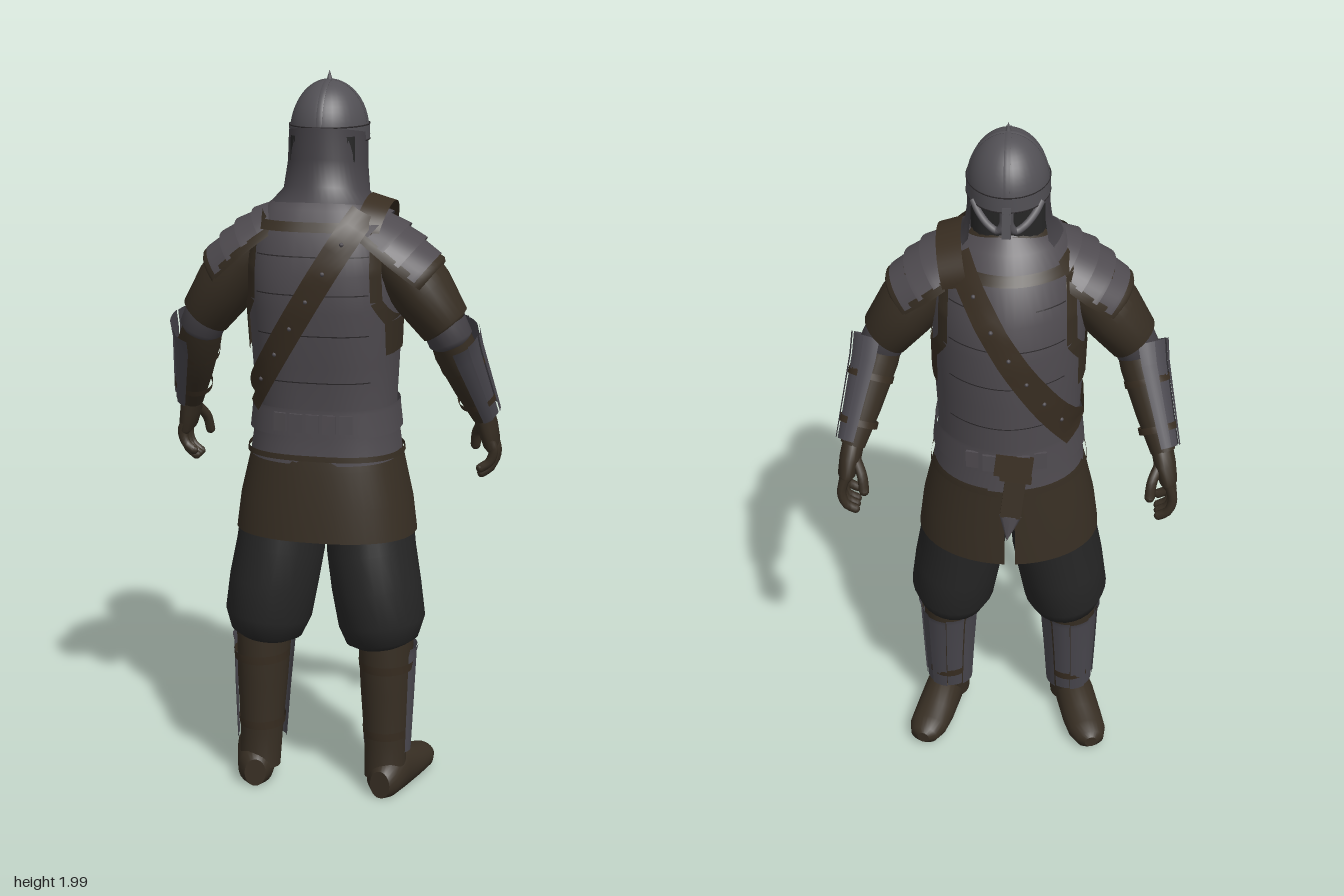
import * as THREE from 'three';

const mat = (name, color) => {
  const m = new THREE.MeshStandardMaterial({ color, side: THREE.DoubleSide });
  m.name = name;
  return m;
};

// Torso cross-sections: y, half width, z front, z back
const TORSO = [
  [0.98, 0.207, -0.18, 0.182], [1.03, 0.2, -0.178, 0.178], [1.12, 0.19, -0.178, 0.178],
  [1.25, 0.197, -0.192, 0.2], [1.4, 0.202, -0.196, 0.224], [1.5, 0.202, -0.184, 0.228],
  [1.6, 0.185, -0.138, 0.208], [1.66, 0.145, -0.09, 0.17], [1.7, 0.09, -0.05, 0.12],
];
const P_BACK = 2.7, P_FRONT = 1.85; // squarer back, rounder front

function sectionAt(y) {
  let i = 0;
  while (i < TORSO.length - 2 && y > TORSO[i + 1][0]) i++;
  const a = TORSO[i], b = TORSO[i + 1];
  const t = THREE.MathUtils.clamp((y - a[0]) / (b[0] - a[0]), 0, 1);
  return a.map((v, k) => v + (b[k] - v) * t);
}

// Skin over rings [x, y, z, ra, rb]; s mirrors it across x
function loft(rings, { s = 1, a0 = 0, a1 = Math.PI * 2, seg = 24, p = 2, pf = p, caps = false, floor = -1 } = {}) {
  const full = a1 - a0 > 6.28;
  if (s < 0) [a0, a1] = [-a1, -a0];
  const c = rings.map(r => new THREE.Vector3(r[0] * s, r[1], r[2]));
  const d = c[c.length - 1].clone().sub(c[0]).normalize();
  const u = Math.abs(d.z) > 0.8 ? new THREE.Vector3(0, 1, 0) : new THREE.Vector3(0, 0, 1);
  u.addScaledVector(d, -u.dot(d)).normalize();
  const v = new THREE.Vector3().crossVectors(d, u);
  const pos = [], idx = [], n = full ? seg : seg + 1;
  const ring = i => {
    for (let j = 0; j < n; j++) {
      const t = a0 + (a1 - a0) * j / seg, e = 2 / (Math.cos(t) < 0 ? pf : p);
      const pw = k => Math.sign(k) * Math.abs(k) ** e;
      const q = c[i].clone().addScaledVector(u, rings[i][4] * pw(Math.cos(t)))
        .addScaledVector(v, rings[i][3] * pw(Math.sin(t)));
      pos.push(q.x, Math.max(q.y, floor), q.z);
    }
  };
  rings.forEach((_, i) => ring(i));
  for (let i = 0; i < rings.length - 1; i++) for (let j = 0; j < seg; j++) {
    const a = i * n + j, b = i * n + (j + 1) % n;
    idx.push(a, b, a + n, b, b + n, a + n);
  }
  if (caps) for (const i of [0, rings.length - 1]) {
    const base = pos.length / 3;
    ring(i);
    pos.push(c[i].x, Math.max(c[i].y, floor), c[i].z);
    for (let j = 0; j < seg; j++) {
      const a = base + j, b = base + (j + 1) % n;
      idx.push(base + n, ...(i ? [a, b] : [b, a]));
    }
  }
  return finish(pos, idx);
}

function finish(pos, idx) {
  const g = new THREE.BufferGeometry();
  g.setAttribute('position', new THREE.Float32BufferAttribute(pos, 3));
  g.setIndex(idx);
  g.computeVertexNormals();
  return g;
}

// Point on the torso surface for a given x, y on the front (-1) or back (+1)
function onTorso(x, y, side, off) {
  const [, rx, zf, zb] = sectionAt(y), p = side > 0 ? P_BACK : P_FRONT;
  const k = Math.min(Math.abs(x) / (rx + off), 1);
  const z = (zf + zb) / 2 + side * ((zb - zf) / 2 + off) * (1 - k ** p) ** (1 / p);
  return [Math.sign(x) * k * (rx + off), y, z];
}

// Flat band following a polyline of (x, y) over the torso
function band(points, side, half, off = 0.007) {
  const pos = [], idx = [], W = 4, N = 16;
  for (let i = 0; i < points.length - 1; i++) {
    const [x0, y0] = points[i], [x1, y1] = points[i + 1];
    const l = Math.hypot(x1 - x0, y1 - y0), nx = -(y1 - y0) / l, ny = (x1 - x0) / l;
    const base = pos.length / 3;
    for (let k = 0; k <= N; k++) for (let w = 0; w <= W; w++) {
      const h = half * (2 * w / W - 1), t = k / N;
      pos.push(...onTorso(x0 + (x1 - x0) * t + nx * h, y0 + (y1 - y0) * t + ny * h, side, off));
    }
    for (let k = 0; k < N; k++) for (let w = 0; w < W; w++) {
      const a = base + k * (W + 1) + w, b = a + W + 1;
      idx.push(a, a + 1, b, a + 1, b + 1, b);
    }
  }
  return finish(pos, idx);
}

export function createModel() {
  const root = new THREE.Group();
  const steel = mat('steel', 0x4f4b50), helm = mat('helmetSteel', 0x525055);
  const splint = mat('splintSteel', 0x4b4950), leather = mat('leather', 0x372e23);
  const strapMat = mat('strapLeather', 0x382d21), cloth = mat('darkCloth', 0x262626);
  const mail = mat('mail', 0x454247), seam = mat('seam', 0x2c292b);
  let parent = root;
  const add = (name, geo, m, x = 0, y = 0, z = 0) => {
    const o = new THREE.Mesh(geo, m);
    o.name = name;
    o.position.set(x, y, z);
    parent.add(o);
    return o;
  };
  const hoops = (list, g = 0) => list.map(([y, rx, zf, zb]) => [0, y, (zf + zb) / 2, rx + g, (zb - zf) / 2 + g]);
  const group = name => { parent = new THREE.Group(); parent.name = name; root.add(parent); };
  const body = { p: P_BACK, pf: P_FRONT, seg: 48 };

  // Torso, waist bands and skirt
  group('body');
  add('cuirass', loft(hoops(TORSO), { ...body, caps: true }), steel);
  add('frontCollar', loft([[0, 1.64, 0.035, 0.15, 0.14], [0, 1.685, 0.03, 0.115, 0.1], [0, 1.715, 0.02, 0.09, 0.075]],
    { a0: 1.9, a1: Math.PI * 2 - 1.9 }), leather);
  add('belt', loft(hoops([1.05, 1.06, 1.115, 1.125].map(sectionAt), 0.009), body), steel);
  add('waistHem', loft(hoops([0.972, 0.98, 0.995].map(sectionAt), 0.008), body), leather);
  add('skirt', loft([[0, 0.755, 0.008, 0.25, 0.198], [0, 0.85, 0.006, 0.238, 0.192], [0, 0.95, 0.003, 0.215, 0.183], [0, 1.0, 0, 0.203, 0.178]],
    { a0: -Math.PI + 0.1, a1: Math.PI - 0.02, p: 2.4, pf: 2, seg: 48 }), leather);
  for (const side of [1, -1]) {
    for (let i = -2; i <= 2; i++) {
      const [x, y, z] = onTorso(i * 0.045, 1.088, side, 0.012);
      add('beltPlate', new THREE.BoxGeometry(0.035, 0.05, 0.008), steel, x, y, z).rotation.y = side * i * 0.1;
    }
    for (const y of [1.2, 1.33, 1.44, 1.54])
      add('plateSeam', band([[-0.15, y], [0.15, y]], side, 0.0015, 0.003), seam);
    add('neckTrim', band([[-0.16, 1.615], [0.16, 1.615]], side, 0.012), leather);
    for (const s of [1, -1])
      add('armholeTrim', band([[s * 0.14, 1.64], [s * 0.163, 1.6], [s * 0.168, 1.42], [s * 0.198, 1.36], [s * 0.198, 1.27]], side, 0.013), leather);
    // Shoulder strap with studs
    add('shoulderStrap', band([[-0.19, 1.125], [0.13, 1.65]], side, 0.036, 0.013), strapMat);
    for (let k = 1; k < 7; k++)
      add('strapStud', new THREE.SphereGeometry(0.006, 8, 6), steel,
        ...onTorso(-0.19 + 0.32 * k / 7, 1.125 + 0.525 * k / 7, side, 0.012));
  }
  add('strapOverShoulder', loft([[0.1, 1.585, 0.035, 0.103, 0.145], [0.165, 1.57, 0.035, 0.1, 0.135]],
    { a0: -Math.PI, a1: 0 }), strapMat);

  // Sheathed dagger at the front of the belt
  group('dagger');
  parent.position.set(-0.02, 1.0, -0.207);
  parent.rotation.set(0.19, 0, 0.12);
  add('hanger', new THREE.BoxGeometry(0.1, 0.06, 0.018), strapMat, 0.01, 0.085, 0);
  add('sheath', new THREE.BoxGeometry(0.056, 0.13, 0.016), leather, 0, 0, 0);
  add('guard', new THREE.BoxGeometry(0.085, 0.014, 0.022), strapMat, 0, 0.05, 0);
  const tip = add('sheathTip', new THREE.ConeGeometry(0.03, 0.075, 8), steel, 0, -0.1, 0);
  tip.rotation.x = Math.PI;
  tip.scale.z = 0.35;

  // Helmet, face guard and mail curtain
  group('helmet');
  const dome = add('dome', new THREE.SphereGeometry(1, 36, 14, 0, Math.PI * 2, 0, Math.PI / 2), helm, 0, 1.84, -0.015);
  dome.scale.set(0.104, 0.135, 0.128);
  add('brim', loft([[0, 1.82, -0.015, 0.106, 0.131], [0, 1.86, -0.015, 0.106, 0.131]], { seg: 36 }), helm);
  for (const y of [1.82, 1.86]) {
    const line = add('brimEdge', new THREE.TorusGeometry(1, 0.012, 4, 36), seam, 0, y, -0.015);
    line.rotation.x = Math.PI / 2;
    line.scale.set(0.106, 0.131, 0.15);
  }
  for (const r of [0, Math.PI / 2]) {
    const ridge = add('ridge', new THREE.TorusGeometry(1, 0.015, 6, 32, Math.PI), helm, 0, 1.84, -0.015);
    ridge.rotation.y = r;
    ridge.scale.set(r ? 0.128 : 0.104, 0.135, 0.6);
  }
  add('spike', new THREE.ConeGeometry(0.011, 0.036, 10), helm, 0, 1.982, -0.012);
  add('mailCurtain', loft([[0, 1.65, 0.03, 0.15, 0.14], [0, 1.69, 0.018, 0.115, 0.113], [0, 1.76, 0.004, 0.106, 0.118], [0, 1.84, -0.002, 0.104, 0.122]],
    { a0: -2.05, a1: 2.05, seg: 32 }), mail);
  add('hoodLining', loft([[0, 1.67, 0.03, 0.1, 0.08], [0, 1.76, 0.028, 0.097, 0.08], [0, 1.835, 0.028, 0.094, 0.08]],
    { p: 2.4, caps: true }), cloth);
  for (const s of [1, -1]) {
    // Eye frame wrapped around the face below the brim
    const loop = [[0.08, 1.822], [0.1, 1.785], [0.22, 1.768], [0.45, 1.778], [0.75, 1.802], [0.98, 1.825]]
      .map(([a, y]) => new THREE.Vector3(s * 0.102 * Math.sin(a), y, -0.018 - 0.127 * Math.cos(a)));
    add('eyeGuard', new THREE.TubeGeometry(new THREE.CatmullRomCurve3(loop), 24, 0.01, 6), helm);
  }
  const nose = add('noseGuard', new THREE.BoxGeometry(0.022, 0.08, 0.012), helm, 0, 1.795, -0.152);
  nose.rotation.x = 0.16;

  for (const s of [1, -1]) {
    const side = s > 0 ? 'left' : 'right';
    const up = Math.PI * 1.5;

    // Shoulder lames, running outward and down, narrowing towards the arm
    group(side + 'Arm');
    const at = (t, g) => [0.067 + 0.172 * t, 1.588 - 0.14 * t, 0.06,
      0.1 + 0.016 * Math.sin(2.6 * t) + g, 0.115 + 0.033 * Math.sin(2.6 * t) - 0.015 * t * t + g];
    for (let i = 0; i < 4; i++) {
      const w = 1.1 + 0.04 * i;
      add('pauldronLame', loft([at(i / 4, -0.002), at((i + 0.9) / 4, 0.006), at((i + 1.08) / 4, 0.008)],
        { s, a0: up - w, a1: up + w, seg: 18 }), steel);
    }
    add('pauldronHem', loft([at(0.98, 0.002), at(1.08, 0.008), at(1.12, 0.002)], { s, a0: up - 1.28, a1: up + 1.28, seg: 18 }), leather);
    for (const k of [-1.2, 1.2])
      add('pauldronSideHem', loft([0, 0.33, 0.66, 1.05].map(t => at(t, 0.006)), { s, a0: up + k - 0.1, a1: up + k + 0.1, seg: 3 }), leather);
    add('sleeve', loft([[0.15, 1.57, 0.06, 0.07, 0.09], [0.21, 1.51, 0.055, 0.085, 0.11], [0.27, 1.43, 0.05, 0.084, 0.105],
      [0.33, 1.345, 0.05, 0.07, 0.084], [0.335, 1.335, 0.05, 0.05, 0.06]], { s, caps: true }), leather);
    add('mailCuff', loft([[0.325, 1.35, 0.052, 0.06, 0.07], [0.345, 1.305, 0.05, 0.06, 0.066], [0.35, 1.29, 0.048, 0.045, 0.05]], { s }), mail);
    const arm = [[0.325, 1.36, 0.06, 0.05, 0.055], [0.355, 1.27, 0.03, 0.058, 0.06], [0.39, 1.16, -0.033, 0.048, 0.05],
      [0.418, 1.07, -0.085, 0.034, 0.036]];
    add('forearm', loft(arm, { s, caps: true }), leather);
    // Overlapping forearm splints on the outer side
    for (let i = 0; i < 5; i++) {
      const m = up + (i - 2) * 0.62, g = i % 2 ? 0.007 : 0.011;
      add('forearmSplint', loft([[0.35, 1.318, 0.06, 0.066 + g, 0.07 + g], [0.36, 1.27, 0.027, 0.06 + g, 0.062 + g],
        [0.416, 1.08, -0.085, 0.038 + g, 0.04 + g]], { s, a0: m - 0.3, a1: m + 0.3, seg: 4 }), splint);
    }
    for (const k of [0.25, 0.75]) {
      const r = 0.067 - 0.018 * k;
      add('forearmStrap', loft([k, k + 0.07].map(t => [0.352 + 0.064 * t, 1.3 - 0.22 * t, 0.04 - 0.125 * t, r, r]), { s }), strapMat);
    }
    // Hand with curled fingers
    add('palm', loft([[0.415, 1.08, -0.082, 0.03, 0.034], [0.424, 1.04, -0.1, 0.03, 0.045], [0.436, 0.99, -0.112, 0.024, 0.05],
      [0.437, 0.975, -0.115, 0.012, 0.042]], { s, seg: 14, caps: true }), leather);
    const finger = (name, pts, r) => {
      const curve = new THREE.CatmullRomCurve3(pts.map(q => new THREE.Vector3(q[0] * s, q[1], q[2])));
      add(name, new THREE.TubeGeometry(curve, 8, r, 8), leather);
      add(name + 'Tip', new THREE.SphereGeometry(r, 8, 6), leather, ...curve.getPoint(1).toArray());
    };
    for (let i = 0; i < 4; i++) {
      const z = -0.075 - 0.024 * i, e = i === 0 ? 0.02 : 0;
      finger('finger', [[0.436, 1.0, z], [0.447, 0.955 + e, z - 0.004], [0.436, 0.918 + e, z - 0.006], [0.412, 0.9 + e, z - 0.002]], 0.013);
    }
    finger('thumb', [[0.41, 1.045, -0.11], [0.39, 1.005, -0.142], [0.385, 0.965, -0.156]], 0.014);

    // Baggy trousers, boots and shin splints
    group(side + 'Leg');
    add('trouserLeg', loft([[0.168, 0.432, 0.055, 0.07, 0.085], [0.166, 0.448, 0.05, 0.1, 0.118], [0.162, 0.5, 0.042, 0.12, 0.145],
      [0.146, 0.6, 0.04, 0.123, 0.15], [0.129, 0.7, 0.028, 0.122, 0.148], [0.118, 0.82, 0.015, 0.118, 0.14]], { s, seg: 28, caps: true }), cloth);
    add('bootShaft', loft([[0.182, 0.05, 0.08, 0.058, 0.055], [0.18, 0.15, 0.065, 0.06, 0.057], [0.178, 0.3, 0.055, 0.07, 0.078],
      [0.175, 0.45, 0.045, 0.077, 0.088]], { s }), leather);
    add('foot', loft([[0.18, 0.045, 0.143, 0.03, 0.04], [0.184, 0.052, 0.12, 0.05, 0.054], [0.198, 0.06, 0.05, 0.057, 0.07],
      [0.222, 0.045, -0.04, 0.058, 0.05], [0.238, 0.04, -0.095, 0.055, 0.04], [0.248, 0.037, -0.13, 0.04, 0.031],
      [0.25, 0.037, -0.143, 0.018, 0.018]], { s, floor: 0.006, caps: true }), leather);
    for (const y of [0.17, 0.37]) {
      const r = 0.063 + 0.06 * (y - 0.15);
      add('shinStrap', loft([[0.18, y, 0.056, r, r + 0.01], [0.18, y + 0.024, 0.056, r + 0.002, r + 0.012]], { s }), strapMat);
    }
    for (let i = 0; i < 5; i++) {
      const m = Math.PI + (i - 2) * 0.68 - 0.4, g = i % 2 ? 0.006 : 0.01;
      add('shinSplint', loft([[0.18, 0.125, 0.06, 0.06 + g, 0.057 + g], [0.178, 0.28, 0.052, 0.068 + g, 0.078 + g],
        [0.175, 0.41, 0.042, 0.075 + g, 0.092 + g], [0.175, 0.43, 0.04, 0.08 + g, 0.097 + g]],
        { s, a0: m - 0.33, a1: m + 0.33, seg: 4 }), splint);
    }
  }
  return root;
}
